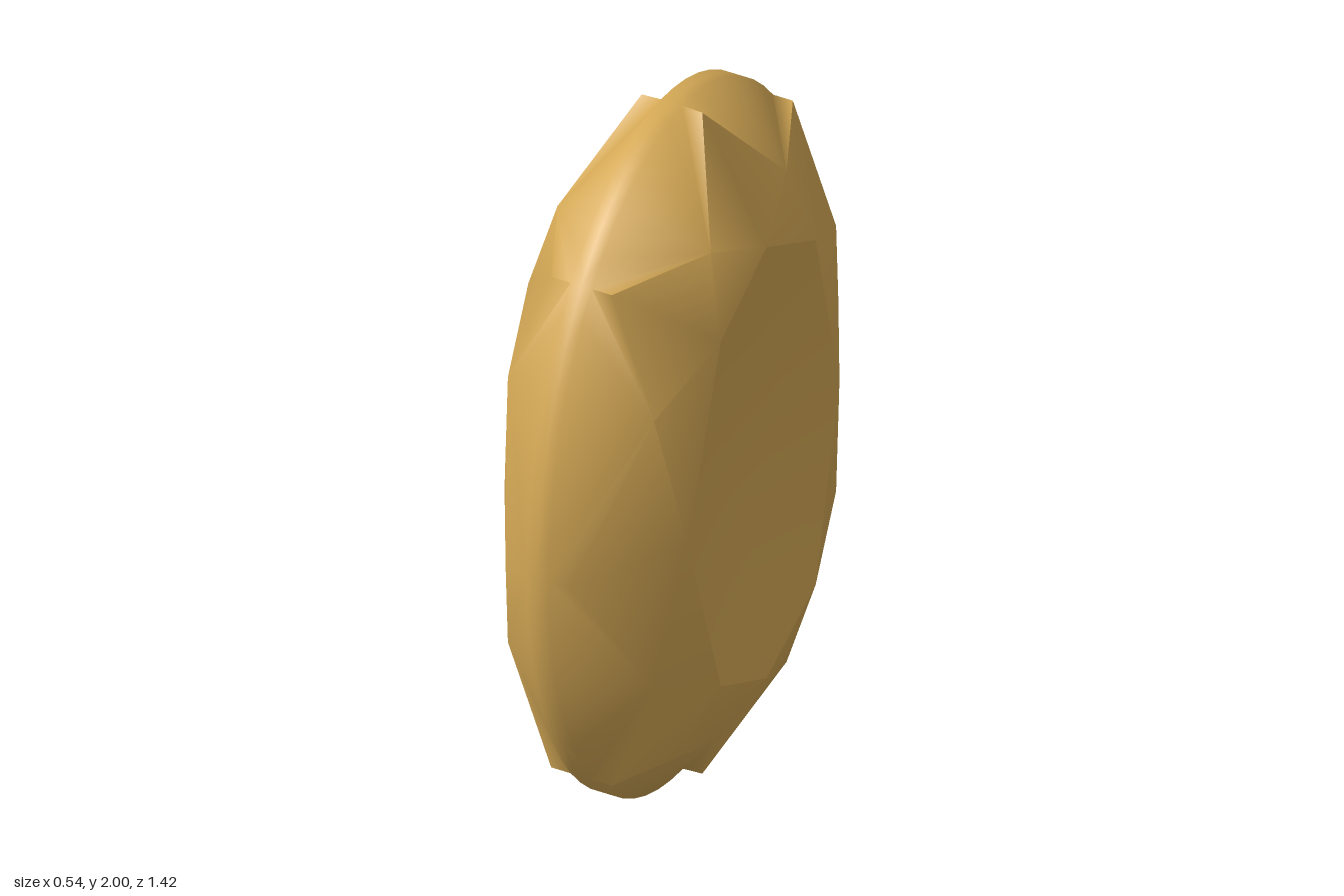
import * as THREE from 'three';
import { toCreasedNormals } from 'three/addons/utils/BufferGeometryUtils.js';

const RZ = 0.71, RY = 1, BAND = 0.03, STEPS = 8, DISH = 0.06, RINGS = 4;

// One quadrant of the cut, as [x, y, z] from the centre of the stone.
const TIPS = [[0.085, 0.997, 0], [0.085, 0.74, 0.4775], [0.09, 0, 0.708]];
const SIDES = [[0.215, 0.74, 0.2], [0.205, 0.4, 0.48]];
const TABLE = [[0.265, 0.65, 0], [0.27, 0.52, 0.25], [0.257, 0, 0.4]];

// Collects triangles, turning each to face along a hint direction.
function makeSoup() {
  const data = [];
  const add = (a, b, c, hint) => {
    const [p, q, r] = [a, b, c].map((v) => new THREE.Vector3(...v));
    const n = q.clone().sub(p).cross(r.clone().sub(p));
    const flip = n.dot(new THREE.Vector3(...hint)) < 0;
    for (const v of flip ? [a, c, b] : [a, b, c]) data.push(v[0], v[1] + 1, v[2]);
  };
  const build = (crease) => {
    const g = new THREE.BufferGeometry();
    g.setAttribute('position', new THREE.Float32BufferAttribute(data, 3));
    return toCreasedNormals(g, crease);
  };
  return { add, build };
}

// Point on the oval rim at angle t from the top.
const rim = (t, x) => [x, RY * Math.cos(t), RZ * Math.sin(t)];

// Calls fn for each eighth of one side, with its points mirrored into place.
function eachEighth(sx, fn) {
  for (const sy of [1, -1]) for (const sz of [1, -1]) for (let i = 0; i < 2; i++) {
    fn(i, (p) => [p[0] * sx, p[1] * sy, p[2] * sz]);
  }
}

// Shallow dished table, in rings from the centre to its edge.
function tableGeometry(sx) {
  const soup = makeSoup();
  const out = [sx, 0, 0];
  eachEighth(sx, (i, place) => {
    const at = (p, k) => {
      const t = k / RINGS;
      const x = 0.2 + (p[0] - 0.2 - DISH) * t + DISH * t * t;
      return place([x, p[1] * t, p[2] * t]);
    };
    for (let k = 0; k < RINGS; k++) {
      const [a, b] = [at(TABLE[i], k), at(TABLE[i + 1], k)];
      const [c, d] = [at(TABLE[i], k + 1), at(TABLE[i + 1], k + 1)];
      soup.add(a, c, d, out);
      if (k) soup.add(a, d, b, out);
    }
  });
  return soup.build(0.6);
}

// Facets between the table and the rim, with half of the thin rim band.
function crownGeometry(sx) {
  const soup = makeSoup();
  const out = [sx, 0, 0];
  eachEighth(sx, (i, place) => {
    const [a, b] = [TIPS[i], TIPS[i + 1]].map(place);
    const [ta, tb] = [TABLE[i], TABLE[i + 1]].map(place);
    const s = place(SIDES[i]);
    soup.add(ta, s, tb, out); // star facet
    soup.add(a, s, ta, out); // half kites
    soup.add(b, s, tb, out);

    // girdle facet fanned from the side point to the rim
    const angle = (p) => Math.atan2(p[2] / RZ, p[1] / RY);
    const t0 = angle(TIPS[i]), t1 = angle(TIPS[i + 1]);
    const at = (k, x) => place(rim(t0 + (t1 - t0) * k / STEPS, x));
    for (let k = 0; k < STEPS; k++) {
      const [p, q, m, n] = [at(k, BAND), at(k + 1, BAND), at(k, 0), at(k + 1, 0)];
      soup.add(s, p, q, out);
      soup.add(p, q, n, [0, p[1], p[2]]);
      soup.add(p, n, m, [0, p[1], p[2]]);
    }

    // small walls under the kite edges
    const mid = at(STEPS / 2, BAND);
    for (const [tip, foot] of [[a, at(0, BAND)], [b, at(STEPS, BAND)]]) {
      soup.add(tip, foot, s, mid.map((v, j) => (j ? v - tip[j] : 0)));
    }
  });
  return soup.build(1.2);
}

export function createModel() {
  const group = new THREE.Group();
  group.name = 'ovalGem';
  const gold = new THREE.MeshStandardMaterial({ color: 0xd4a855 });
  gold.name = 'amber gold';
  for (const [side, sx] of [['left', 1], ['right', -1]]) {
    const parts = { Table: tableGeometry(sx), Facets: crownGeometry(sx) };
    for (const [name, geometry] of Object.entries(parts)) {
      const mesh = new THREE.Mesh(geometry, gold);
      mesh.name = side + name;
      group.add(mesh);
    }
  }
  return group;
}
